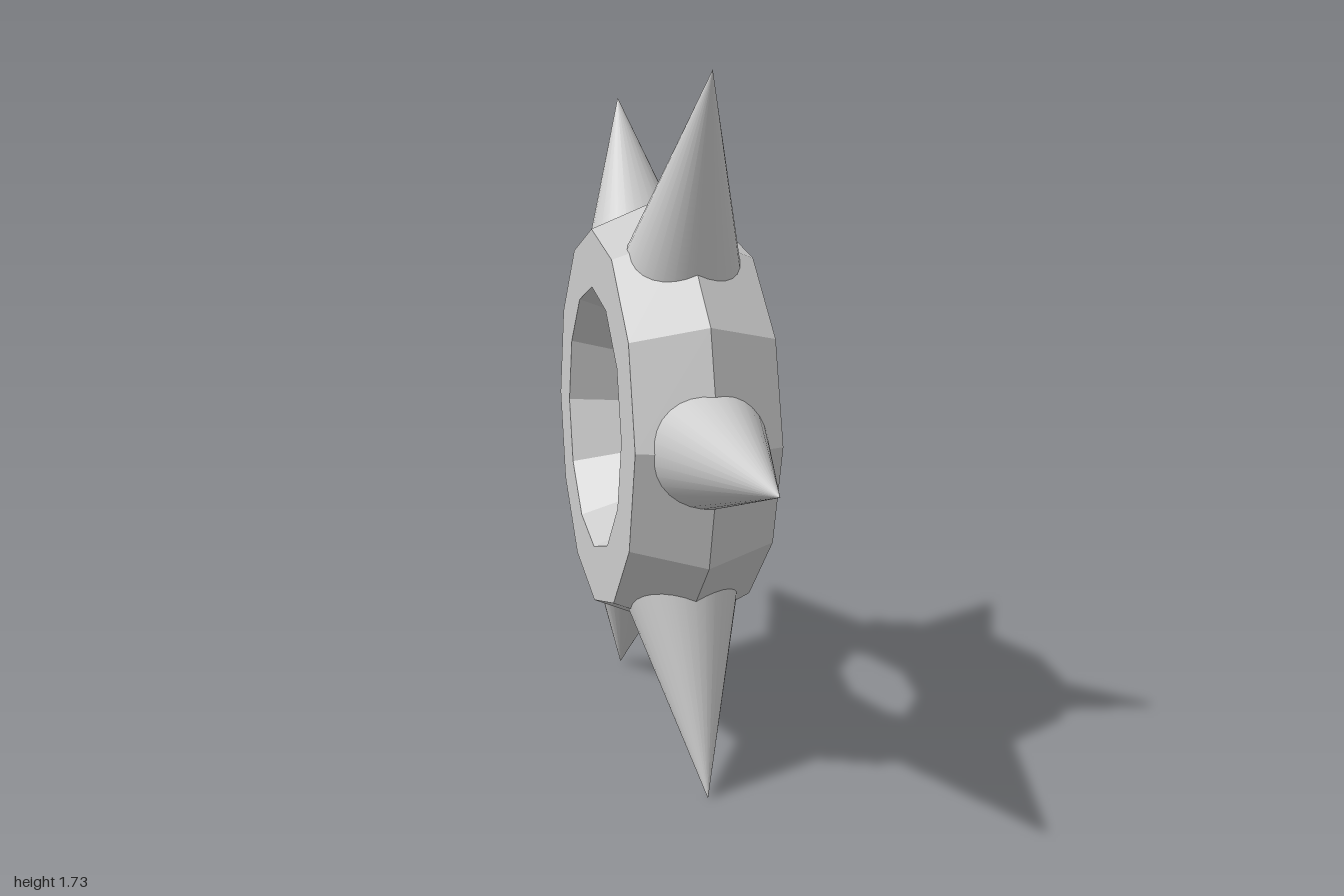
import * as THREE from 'three';

export function createModel() {
  const model = new THREE.Group();
  const centreY = 0.866;
  const flat = new THREE.MeshStandardMaterial({ color: 0xcccccc, flatShading: true });
  const smooth = new THREE.MeshStandardMaterial({ color: 0xcccccc });

  // Twelve-sided ring with a hexagonal section, its axis along x
  const section = [
    [0.5, -0.18], [0.575, 0], [0.5, 0.18],
    [0.35, 0.18], [0.275, 0], [0.35, -0.18], [0.5, -0.18],
  ].map(([r, h]) => new THREE.Vector2(r, h));
  const ring = new THREE.Mesh(new THREE.LatheGeometry(section, 12), flat);
  ring.name = 'ring';
  ring.rotation.z = Math.PI / 2;
  ring.position.y = centreY;
  model.add(ring);

  // Six conical spikes, their bases sunk into the ring
  const tip = 1, base = 0.44;
  const cone = new THREE.ConeGeometry(0.16, tip - base, 32);
  cone.translate(0, (tip + base) / 2, 0);
  for (let i = 0; i < 6; i++) {
    const spike = new THREE.Mesh(cone, smooth);
    spike.name = `spike${i + 1}`;
    spike.rotation.x = Math.PI / 2 + (i * Math.PI) / 3;
    spike.position.y = centreY;
    model.add(spike);
  }
  return model;
}
